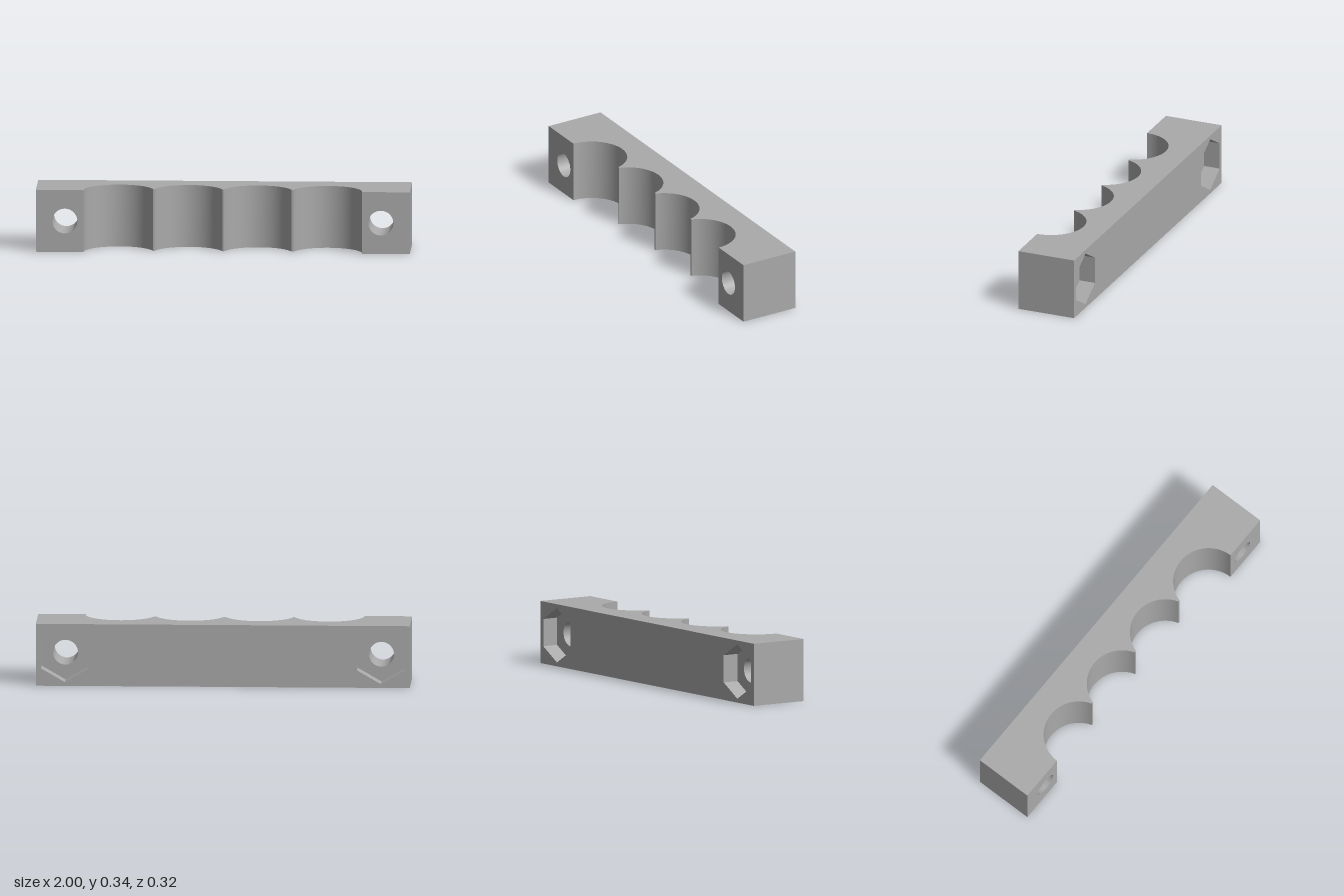
import * as THREE from 'three';
import { mergeGeometries, toCreasedNormals } from 'three/addons/utils/BufferGeometryUtils.js';

const H = 0.335, D = 0.162;                 // height, half depth
const R = 0.189, PITCH = 0.371;             // scallop radius and spacing
const TIP = 0.055;                          // how far the ridges sit behind the front
const EDGE = 1.5 * PITCH + R;               // where the end blocks begin
const BOLT_X = 0.845, BOLT_Y = H / 2, BOLT_R = 0.067;
const NUT_R = 0.147, NUT_DEPTH = 0.09;

const v2 = (x, y) => new THREE.Vector2(x, y);

// Clockwise ring of points; walls built from it face inwards
const ring = (cx, cy, r, n) => Array.from({ length: n }, (_, i) => {
  const a = Math.PI / 2 - (i / n) * Math.PI * 2;
  return v2(cx + r * Math.cos(a), cy + r * Math.sin(a));
});

const rect = (x0, x1, y0, y1) => [v2(x0, y0), v2(x1, y0), v2(x1, y1), v2(x0, y1)];

// Flat face at depth z, facing +z, with optional holes
function face(points, holes = [], z = 0) {
  const shape = new THREE.Shape(points);
  holes.forEach(h => shape.holes.push(new THREE.Path(h)));
  const g = new THREE.ShapeGeometry(shape).toNonIndexed();
  g.deleteAttribute('uv');
  return g.translate(0, 0, z);
}

// Strip along a path from z = a to z = b, facing right of the path
function wall(points, a, b, closed = false) {
  const pos = [];
  const n = points.length;
  for (let i = 0; i < (closed ? n : n - 1); i++) {
    const p = points[i], q = points[(i + 1) % n];
    pos.push(p.x, p.y, a, q.x, q.y, a, q.x, q.y, b, p.x, p.y, a, q.x, q.y, b, p.x, p.y, b);
  }
  const g = new THREE.BufferGeometry();
  g.setAttribute('position', new THREE.Float32BufferAttribute(pos, 3));
  g.computeVertexNormals();
  return g;
}

// Four arcs with narrow flat ridges between them, as seen from above
function scallopPath() {
  const pts = [], inner = Math.asin(TIP / R), n = 40;
  for (let k = 0; k < 4; k++) {
    const c = (k - 1.5) * PITCH;
    const start = Math.PI - (k === 0 ? 0 : inner), end = k === 3 ? 0 : inner;
    for (let i = 0; i <= n; i++) {
      const a = start + (end - start) * i / n;
      pts.push(v2(c + R * Math.cos(a), -D + R * Math.sin(a)));
    }
  }
  return pts;
}

export function createModel() {
  const group = new THREE.Group();
  group.name = 'scallopedClampBar';
  const grey = new THREE.MeshStandardMaterial({ color: 0xaaaaaa });
  grey.name = 'plain grey';

  const add = (name, parts) => {
    const mesh = new THREE.Mesh(toCreasedNormals(mergeGeometries(parts), 0.5), grey);
    mesh.name = name;
    group.add(mesh);
  };

  // Plan outline, with the scallops along the front
  const scallops = scallopPath();
  const plan = [v2(-1, D), v2(-1, -D), ...scallops, v2(1, -D), v2(1, D)];
  const flipped = plan.map(p => v2(p.x, -p.y));
  const up = g => g.rotateX(-Math.PI / 2);
  const sides = [-1, 1];

  // Bar shell: top, bottom, ends, back with nut openings, front pads with bolt holes
  add('barBody', [
    up(face(plan, [], H)),
    face(flipped).rotateX(Math.PI / 2),
    up(wall([v2(-1, D), v2(-1, -D)], 0, H)),
    up(wall([v2(1, -D), v2(1, D)], 0, H)),
    face(rect(-1, 1, 0, H), sides.map(s => ring(s * BOLT_X, BOLT_Y, NUT_R, 6)), D).rotateY(Math.PI),
    ...sides.map(s => face(
      s < 0 ? rect(-1, -EDGE, 0, H) : rect(EDGE, 1, 0, H),
      [ring(s * BOLT_X, BOLT_Y, BOLT_R, 48)], D)),
  ]);

  // Curved seats and ridges
  add('scallopedSeats', [up(wall(scallops, 0, H))]);

  // Round bolt bores opening into hexagonal nut pockets at the back
  const floor = -D + NUT_DEPTH;
  sides.forEach(s => {
    const hex = ring(s * BOLT_X, BOLT_Y, NUT_R, 6);
    const bore = ring(s * BOLT_X, BOLT_Y, BOLT_R, 48);
    const mirror = pts => pts.map(p => v2(-p.x, p.y));
    const side = s > 0 ? 'left' : 'right';
    add(side + 'BoltBore', [wall(bore, floor, D, true)]);
    add(side + 'NutPocket', [
      wall(hex, -D, floor, true),
      face(mirror(hex), [mirror(bore)], -floor).rotateY(Math.PI),
    ]);
  });

  return group;
}
